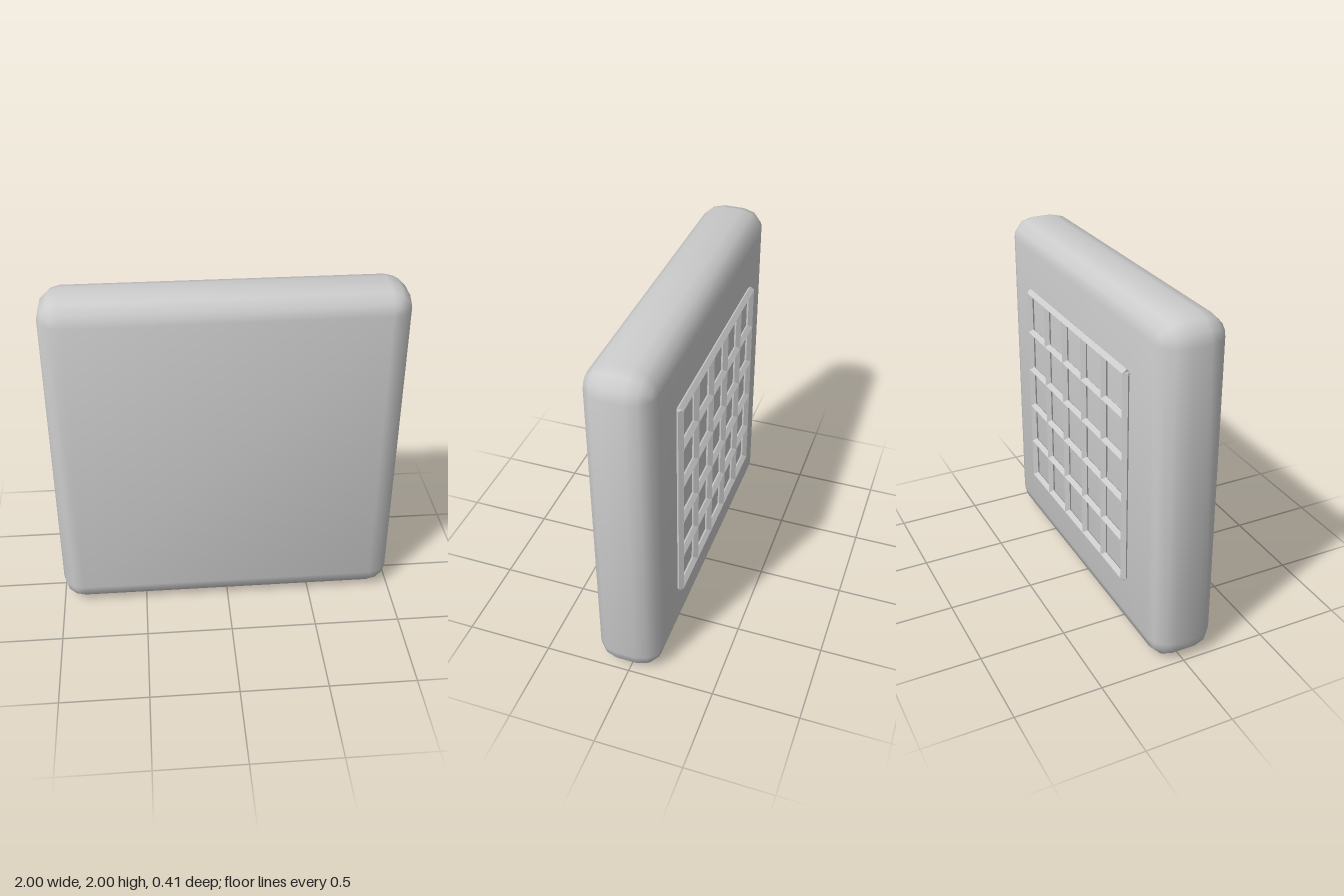
import * as THREE from 'three';
import { toCreasedNormals } from 'three/addons/utils/BufferGeometryUtils.js';

const STEPS = 3; // facets around each rounded edge

// Slab with rounded edges, built as rings from the front cap to the back cap
function roundedSlab(width, height, depth, r) {
  const positions = [];
  const index = [];
  const perRing = 4 * (STEPS + 1);
  const rings = 2 * (STEPS + 1);
  for (let k = 0; k < rings; k++) {
    const front = k <= STEPS;
    const phi = ((front ? k : rings - 1 - k) / STEPS) * Math.PI / 2;
    const z = (front ? 1 : -1) * (depth / 2 - r + r * Math.cos(phi));
    const spread = r * Math.sin(phi);
    for (let corner = 0; corner < 4; corner++) {
      const cx = (corner === 0 || corner === 3 ? 1 : -1) * (width / 2 - r);
      const cy = (corner < 2 ? 1 : -1) * (height / 2 - r);
      for (let s = 0; s <= STEPS; s++) {
        const a = (corner + s / STEPS) * Math.PI / 2;
        positions.push(cx + spread * Math.cos(a), cy + spread * Math.sin(a), z);
      }
    }
  }
  for (let k = 0; k < rings - 1; k++) {
    for (let j = 0; j < perRing; j++) {
      const n = (j + 1) % perRing;
      const a = k * perRing + j, b = k * perRing + n;
      const c = a + perRing, d = b + perRing;
      index.push(a, c, b, b, c, d);
    }
  }
  // Flat front and back caps
  const q = STEPS + 1;
  const last = (rings - 1) * perRing;
  index.push(0, q, 2 * q, 0, 2 * q, 3 * q);
  index.push(last, last + 2 * q, last + q, last, last + 3 * q, last + 2 * q);
  const geometry = new THREE.BufferGeometry();
  geometry.setAttribute('position', new THREE.Float32BufferAttribute(positions, 3));
  geometry.setIndex(index);
  return toCreasedNormals(geometry, 1);
}

export function createModel() {
  const model = new THREE.Group();
  model.name = 'panel';
  const grey = new THREE.MeshStandardMaterial({ color: 0xcccccc });
  grey.name = 'light grey';

  // Main body
  const body = new THREE.Mesh(roundedSlab(2, 2, 0.373, 0.127), grey);
  body.name = 'body';
  body.position.set(0, 1, 0.0185);
  model.add(body);

  // Raised lattice of diamond-section bars on the back
  const lattice = new THREE.Group();
  lattice.name = 'backLattice';
  lattice.position.set(0, 1, -0.182);
  const bar = toCreasedNormals(new THREE.CylinderGeometry(0.023, 0.023, 1.26, 4), 0.3);
  for (let i = 0; i < 6; i++) {
    const offset = -0.625 + i * 0.25;
    const upright = new THREE.Mesh(bar, grey);
    upright.name = 'verticalBar';
    upright.position.x = offset;
    const cross = new THREE.Mesh(bar, grey);
    cross.name = 'horizontalBar';
    cross.position.y = offset;
    cross.rotation.z = Math.PI / 2;
    lattice.add(upright, cross);
  }
  model.add(lattice);
  return model;
}
